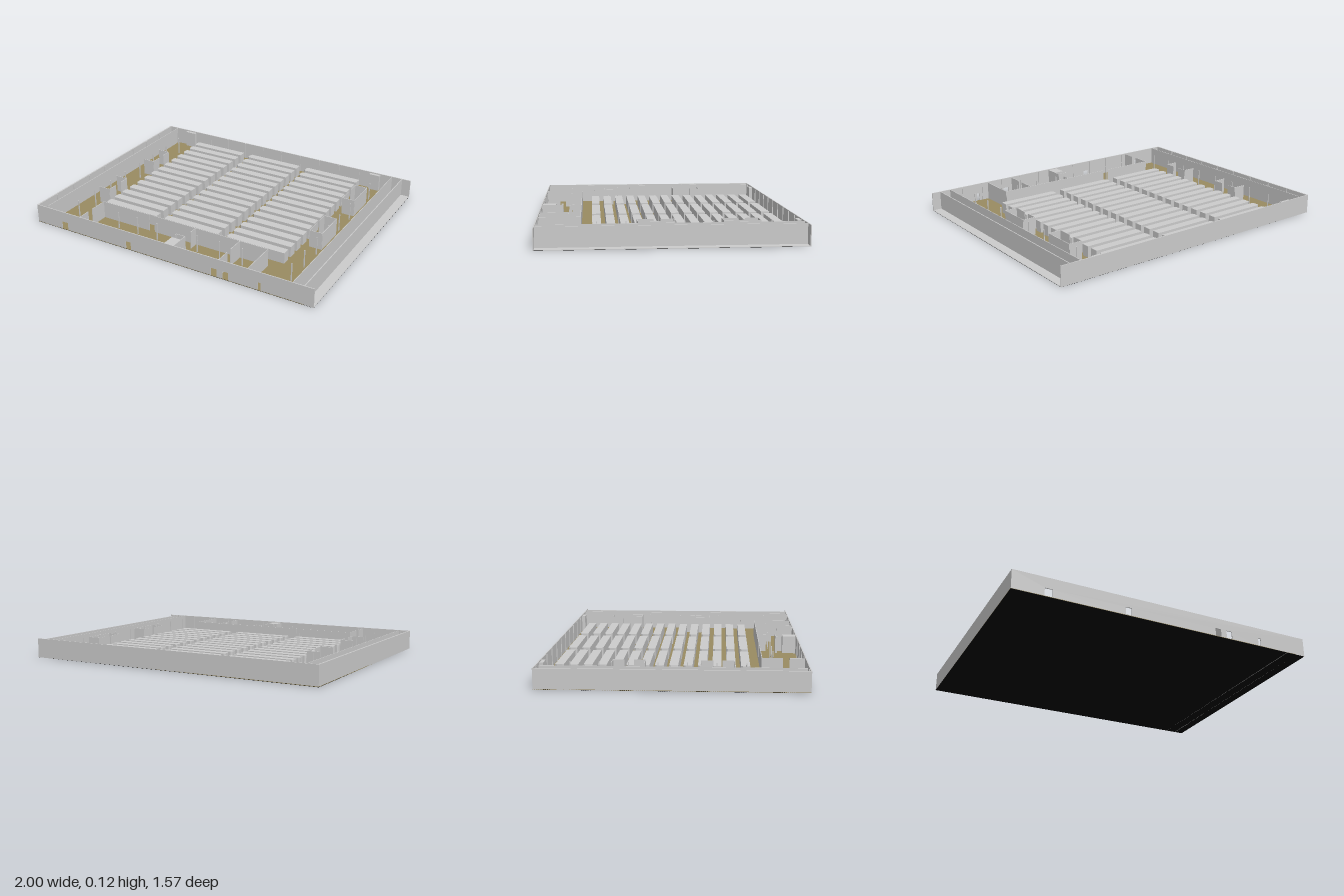
import * as THREE from 'three';

const W = 2, D = 1.574, H = 0.125, F = 0.004, T = 0.006;
const grey = new THREE.MeshStandardMaterial({ color: 0xcccccc, flatShading: true });
const olive = new THREE.MeshStandardMaterial({ color: 0x998b62 });
const black = new THREE.MeshStandardMaterial({ color: 0x060606 });

export function createModel() {
  const model = new THREE.Group();

  // Box given by its limits on each axis
  function box(parent, name, x0, x1, y0, y1, z0, z1, mat = grey) {
    const mesh = new THREE.Mesh(new THREE.BoxGeometry(x1 - x0, y1 - y0, z1 - z0), mat);
    mesh.position.set((x0 + x1) / 2, (y0 + y1) / 2, (z0 + z1) / 2);
    mesh.name = name;
    parent.add(mesh);
    return mesh;
  }
  function group(name) {
    const g = new THREE.Group();
    g.name = name;
    model.add(g);
    return g;
  }
  // Thin partitions running along x or along z
  const alongX = (g, x0, x1, z, h = 0.12) => box(g, 'partition', x0, x1, F, h, z - 0.002, z + 0.002);
  const alongZ = (g, x, z0, z1, h = 0.12) => box(g, 'partition', x - 0.002, x + 0.002, F, h, z0, z1);

  // Floor, outer apron and dark underside
  const floor = group('floor');
  box(floor, 'hallFloor', -W / 2, 0.94, 0.001, F, -D / 2, D / 2, olive);
  box(floor, 'sideApron', 0.94, W / 2, 0.001, F, -D / 2, D / 2);
  box(floor, 'underside', -W / 2, W / 2, 0, 0.001, -D / 2, D / 2, black);

  // Front wall with doorways cut from its lower edge
  const wall = new THREE.Shape();
  wall.moveTo(-W / 2, 0);
  const doors = [[-0.8, -0.75], [-0.29, -0.25], [0.33, 0.37], [0.41, 0.45], [0.645, 0.665]];
  for (const [a, b] of doors) {
    wall.lineTo(a, F);
    wall.lineTo(a, 0.055);
    wall.lineTo(b, 0.055);
    wall.lineTo(b, F);
  }
  wall.lineTo(W / 2, 0);
  wall.lineTo(W / 2, H);
  wall.lineTo(-W / 2, H);
  const front = new THREE.Mesh(
    new THREE.ExtrudeGeometry(wall, { depth: T, bevelEnabled: false }), grey);
  front.position.z = D / 2 - T;
  front.name = 'frontWall';
  model.add(front);

  // Remaining outer walls and the two long inner walls
  const walls = group('walls');
  box(walls, 'backWall', -W / 2, W / 2, 0, H, -D / 2, -D / 2 + T);
  box(walls, 'rightWall', -W / 2, -0.99, 0, H, -D / 2, D / 2);
  box(walls, 'leftWall', 0.935, 0.941, 0, H, -D / 2, D / 2);
  box(walls, 'rightInnerWall', -0.927, -0.923, 0, H, -0.765, 0.77);
  box(walls, 'leftInnerWall', 0.863, 0.867, 0, H, -D / 2, D / 2);

  // Storage racks: three blocks of fourteen rows, chamfered at one end
  const rack = new THREE.Shape();
  const L = 0.406, hw = 0.027;
  [[0, -0.016], [0.008, -hw], [L, -hw], [L, hw], [0.008, hw], [0, 0.016]]
    .forEach(([x, y], i) => (i ? rack.lineTo(x, y) : rack.moveTo(x, y)));
  const rackGeo = new THREE.ExtrudeGeometry(rack, { depth: 0.072, bevelEnabled: false });
  rackGeo.rotateX(-Math.PI / 2);
  const racks = group('racks');
  for (const x of [-0.692, -0.224, 0.243]) {
    for (let i = 0; i < 14; i++) {
      const mesh = new THREE.Mesh(rackGeo, grey);
      mesh.position.set(x, F, -0.69 + i * 0.086);
      mesh.name = 'rack';
      racks.add(mesh);
    }
  }

  // Front offices
  const offices = group('frontOffices');
  alongX(offices, -0.655, -0.29, 0.525);
  alongX(offices, -0.25, 0.573, 0.525);
  alongZ(offices, -0.655, 0.525, 0.65);
  alongZ(offices, -0.655, 0.69, 0.782);
  alongZ(offices, 0.063, 0.525, 0.585);
  alongZ(offices, 0.38, 0.525, 0.64);
  alongZ(offices, 0.38, 0.68, 0.782);
  alongZ(offices, 0.573, 0.525, 0.782);

  // Entrance booth with an open-topped lobby behind it
  const booth = group('entranceBooth');
  box(booth, 'boothBlock', -0.003, 0.065, F, 0.12, 0.693, 0.782);
  alongX(booth, -0.003, 0.065, 0.647);
  alongZ(booth, -0.001, 0.647, 0.66);
  alongZ(booth, 0.063, 0.647, 0.693);

  // Small rooms beside the racks on the right, mirrored front to back
  const rightRooms = group('rightRooms');
  for (const s of [-1, 1]) {
    alongX(rightRooms, -0.82, -0.735, s * 0.36);
    alongX(rightRooms, -0.82, -0.735, s * 0.165);
    const a = s * 0.165, b = s * 0.235, c = s * 0.29, d = s * 0.36;
    alongZ(rightRooms, -0.735, Math.min(a, b), Math.max(a, b));
    alongZ(rightRooms, -0.735, Math.min(c, d), Math.max(c, d));
  }

  // Small open-topped rooms on the left
  const leftRooms = group('leftRooms');
  for (const [z0, z1] of [[-0.54, -0.32], [-0.03, 0.19]]) {
    alongX(leftRooms, 0.69, 0.775, z0);
    alongX(leftRooms, 0.69, 0.775, z1);
    alongZ(leftRooms, 0.69, z0, z0 + 0.08);
    alongZ(leftRooms, 0.69, z1 - 0.1, z1);
    alongZ(leftRooms, 0.775, z0, z1);
  }

  // Blocks against the back wall
  for (const [x0, x1] of [[-0.835, -0.752], [0.705, 0.78]])
    box(model, 'backBlock', x0, x1, F, 0.118, -D / 2 + T, -0.758);

  // Free-standing columns and wall pilasters
  const columns = group('columns');
  const column = (x, z) => box(columns, 'column', x - 0.003, x + 0.003, F, 0.122, z - 0.003, z + 0.003);
  for (let i = 0; i < 8; i++) {
    const z = -0.605 + i * 0.1725;
    for (const x of [-0.987, -0.805, 0.77]) column(x, z);
  }
  for (const x of [-0.48, -0.33, -0.18, 0.12, 0.28, 0.44]) column(x, 0.6);
  for (let i = 0; i < 12; i++) {
    const x = -0.93 + i * 0.155;
    column(x, -0.779);
    if (!doors.some(([a, b]) => x > a - 0.01 && x < b + 0.01)) column(x, 0.779);
  }
  return model;
}
